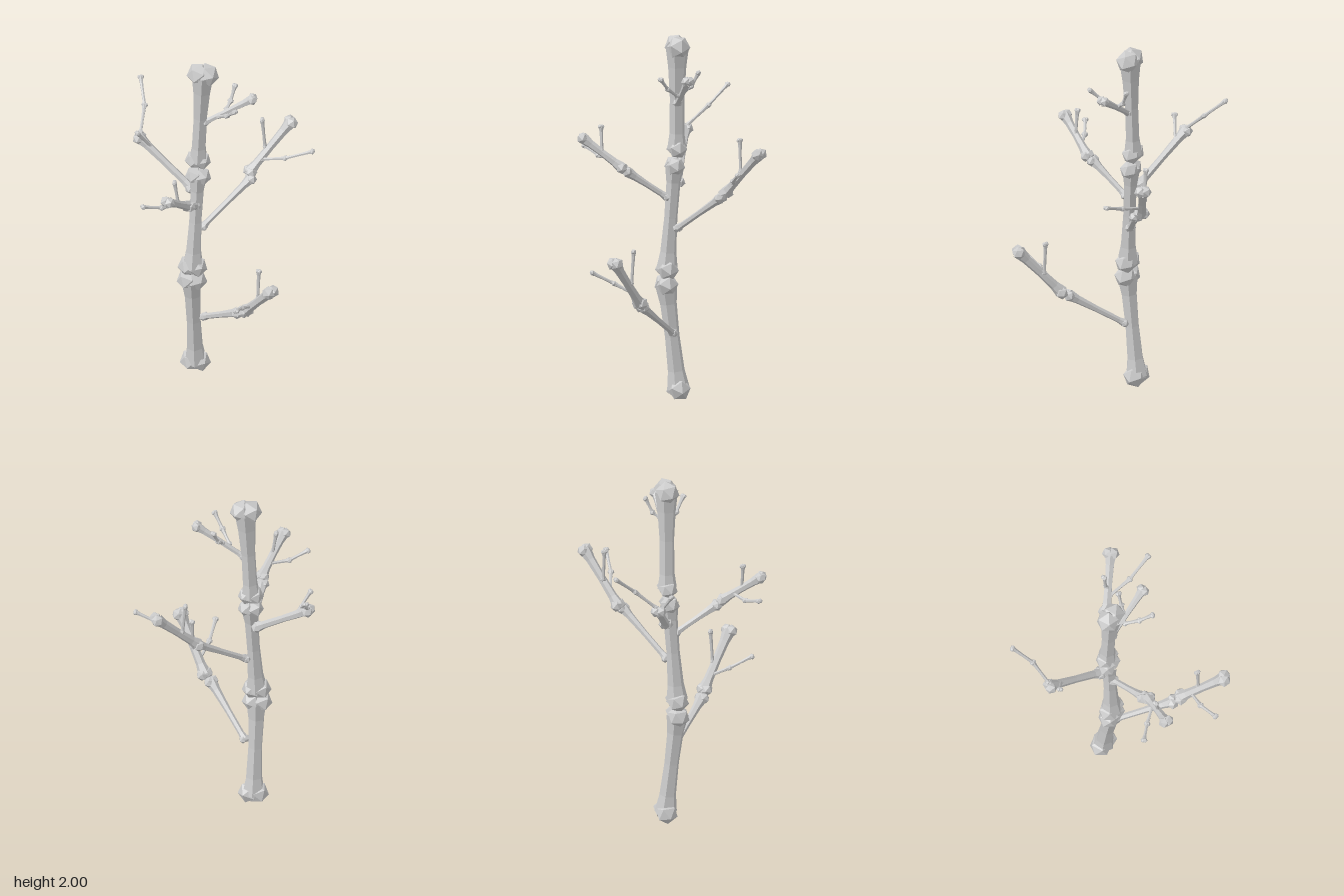
import * as THREE from 'three';

const material = new THREE.MeshStandardMaterial({ color: 0xcccccc, flatShading: true });

// One bone between two knob centres p and q, with knob radii k0 and k1:
// a six-sided flared shaft and a pair of faceted lobes at each end.
function bone(name, p, q, k0, k1, shaft = 0.6, lobeAxis = new THREE.Vector3()) {
  const a = new THREE.Vector3(...p);
  const d = new THREE.Vector3(...q).sub(a), len = d.length();
  d.normalize();
  const u = lobeAxis.lengthSq() ? lobeAxis.clone() : new THREE.Vector3(0, 1, 0).cross(d);
  u.addScaledVector(d, -u.dot(d)).normalize();

  const group = new THREE.Group();
  group.name = name;
  group.position.copy(a);
  group.quaternion.setFromRotationMatrix(
    new THREE.Matrix4().makeBasis(u, d, u.clone().cross(d)));

  const profile = [
    [k0 * 0.88, 0],
    [k0 * shaft * 1.05, Math.min(k0 * 1.4, len * 0.3)],
    [(k0 + k1) / 2 * shaft * 0.92, len * 0.5],
    [k1 * shaft * 1.05, len - Math.min(k1 * 1.5, len * 0.3)],
    [k1 * 0.88, len],
  ].map(([r, y]) => new THREE.Vector2(r, y));
  const shaftMesh = new THREE.Mesh(new THREE.LatheGeometry(profile, 6), material);
  shaftMesh.name = 'shaft';
  group.add(shaftMesh);

  for (const [y, k] of [[0, k0], [len, k1]]) {
    for (const s of [-1, 1]) {
      const lobe = new THREE.Mesh(new THREE.IcosahedronGeometry(k * 0.87, 0), material);
      lobe.name = 'lobe';
      lobe.position.set(s * k * 0.32, y, 0);
      lobe.rotation.set(0.3 * s, 0.5 * s, -0.25 * s);
      group.add(lobe);
    }
  }
  return group;
}

// Branches: each segment is [start, end, startKnob, endKnob]; twigs are paths of joints.
const BRANCHES = [
  {
    name: 'lowerFrontBranch',
    segments: [
      [[-0.09, 0.38, -0.05], [0.112, 0.575, 0.175], 0.026, 0.037],
      [[0.15, 0.605, 0.2], [0.298, 0.86, 0.378], 0.041, 0.042],
    ],
    twigs: [
      [[0.22, 0.73, 0.265], [0.225, 0.905, 0.255]],
      [[0.18, 0.67, 0.25], [0.14, 0.72, 0.34], [0.12, 0.78, 0.455]],
    ],
  },
  {
    name: 'middleBackBranch',
    segments: [
      [[-0.1, 0.945, -0.08], [0.14, 1.15, -0.25], 0.026, 0.034],
      [[0.135, 1.175, -0.28], [0.342, 1.42, -0.405], 0.039, 0.04],
    ],
    twigs: [
      [[0.21, 1.3, -0.34], [0.195, 1.47, -0.34]],
      [[0.2, 1.24, -0.305], [0.325, 1.28, -0.267], [0.47, 1.342, -0.253]],
    ],
  },
  {
    name: 'middleFrontBranch',
    segments: [
      [[-0.135, 1.11, -0.03], [-0.16, 1.255, 0.182], 0.026, 0.034],
      [[-0.155, 1.278, 0.212], [-0.25, 1.432, 0.402], 0.036, 0.036],
    ],
    twigs: [
      [[-0.2, 1.36, 0.31], [-0.22, 1.495, 0.31]],
      [[-0.175, 1.325, 0.26], [-0.29, 1.325, 0.305], [-0.385, 1.36, 0.355]],
    ],
  },
  {
    name: 'upperBackBranch',
    segments: [[[-0.165, 1.18, -0.1], [-0.45, 1.405, -0.22], 0.034, 0.038]],
    twigs: [
      [[-0.385, 1.365, -0.195], [-0.455, 1.48, -0.15]],
      [[-0.445, 1.43, -0.235], [-0.433, 1.53, -0.345], [-0.463, 1.63, -0.458]],
    ],
  },
  {
    name: 'topBranch',
    segments: [[[-0.085, 1.63, -0.075], [0.165, 1.8, -0.062], 0.024, 0.032]],
    twigs: [
      [[0.025, 1.715, -0.08], [0.045, 1.745, -0.115], [0.065, 1.822, -0.148]],
      [[-0.01, 1.685, -0.05], [0.035, 1.735, 0.013], [0.082, 1.8, 0.065]],
    ],
  },
];

export function createModel() {
  const model = new THREE.Group();
  model.name = 'boneTree';

  // Trunk: three large bones stacked end to end
  const trunk = new THREE.Group();
  trunk.name = 'trunk';
  const side = new THREE.Vector3(1, 0, 0);
  trunk.add(
    bone('lowerTrunk', [-0.142, 0.062, -0.095], [-0.155, 0.63, -0.032], 0.071, 0.07, 0.62, side),
    bone('middleTrunk', [-0.152, 0.715, -0.035], [-0.125, 1.28, -0.07], 0.068, 0.06, 0.62, side),
    bone('upperTrunk', [-0.127, 1.375, -0.082], [-0.1, 1.935, -0.078], 0.06, 0.074, 0.65, side),
  );
  model.add(trunk);

  // Branches with their twigs
  for (const { name, segments, twigs } of BRANCHES) {
    const branch = new THREE.Group();
    branch.name = name;
    segments.forEach(([p, q, k0, k1], i) => branch.add(bone(`segment${i + 1}`, p, q, k0, k1)));
    twigs.forEach((path, t) => {
      for (let i = 0; i + 1 < path.length; i++) {
        branch.add(bone(`twig${t + 1}Part${i + 1}`, path[i], path[i + 1], 0.014, 0.016));
      }
    });
    model.add(branch);
  }
  return model;
}
